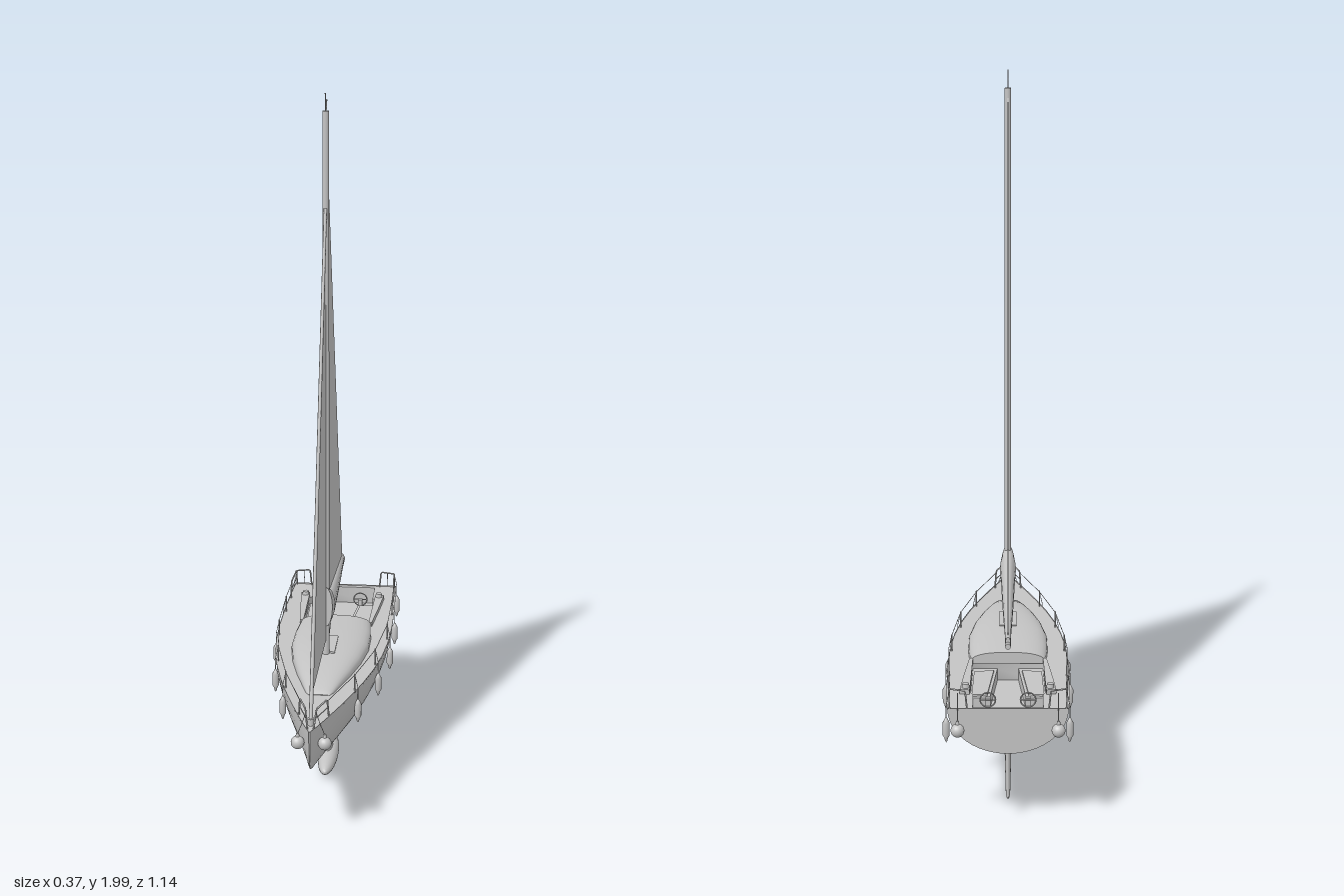
import * as THREE from 'three';

const grey = new THREE.MeshStandardMaterial({ color: 0xc4c4c4 });
grey.name = 'light grey';
grey.side = THREE.DoubleSide;
const DECK = 0.353;
const V = (x, y, z) => new THREE.Vector3(x, y, z);

// Stations along the hull: z, half width at deck, keel height
const stations = [
  [-0.525, 0.163, 0.226], [-0.42, 0.168, 0.212], [-0.3, 0.171, 0.2], [-0.18, 0.172, 0.19],
  [-0.06, 0.168, 0.183], [0.04, 0.158, 0.181], [0.14, 0.141, 0.183], [0.24, 0.117, 0.19],
  [0.33, 0.09, 0.199], [0.41, 0.063, 0.209], [0.48, 0.038, 0.219], [0.53, 0.019, 0.229],
  [0.555, 0.008, 0.24], [0.57, 0.002, 0.262],
];
function beam(z) {
  const i = Math.max(1, stations.findIndex((s) => s[0] >= z));
  const [a, b] = [stations[i - 1], stations[i]];
  return THREE.MathUtils.lerp(a[1], b[1], (z - a[0]) / (b[0] - a[0]));
}

// Skin through rings of points; rings run counter-clockwise about the loft direction
function loft(rings, closed, caps = true) {
  const n = rings[0].length, pos = [], idx = [];
  rings.forEach((r) => r.forEach((p) => pos.push(p.x, p.y, p.z)));
  for (let i = 0; i < rings.length - 1; i++) {
    for (let j = 0; j < (closed ? n : n - 1); j++) {
      const k = (j + 1) % n, a = i * n + j, b = i * n + k;
      idx.push(a, b, a + n, b, b + n, a + n);
    }
  }
  if (caps) {
    [rings[0], rings[rings.length - 1]].forEach((r, end) => {
      const o = pos.length / 3;
      r.forEach((p) => pos.push(p.x, p.y, p.z));
      for (let j = 1; j < n - 1; j++) idx.push(o, ...(end ? [o + j, o + j + 1] : [o + j + 1, o + j]));
    });
  }
  const g = new THREE.BufferGeometry();
  g.setAttribute('position', new THREE.Float32BufferAttribute(pos, 3));
  g.setIndex(idx);
  g.computeVertexNormals();
  return g;
}
const arc = (n, f) => Array.from({ length: n + 1 }, (_, i) => f(i / n));

// Outline of [x, z] pairs, flat or extruded upward
function plan(pts) {
  return new THREE.Shape(pts.map(([x, z]) => new THREE.Vector2(x, -z)));
}
const slab = (shape, y, h) => new THREE.ExtrudeGeometry(shape, { depth: h, bevelEnabled: false })
  .rotateX(-Math.PI / 2).translate(0, y, 0);
const mirrored = (half) => [...half, ...half.slice().reverse().map(([x, z]) => [-x, z])];

// Straight round bar between two points
function bar(a, b, r0, r1 = r0, sides = 8) {
  const d = b.clone().sub(a);
  const g = new THREE.CylinderGeometry(r1, r0, d.length(), sides);
  g.applyQuaternion(new THREE.Quaternion().setFromUnitVectors(V(0, 1, 0), d.clone().normalize()));
  const m = a.clone().add(b).multiplyScalar(0.5);
  return g.translate(m.x, m.y, m.z);
}
const pipe = (pts, r) => {
  const path = new THREE.CurvePath();
  for (let i = 1; i < pts.length; i++) path.add(new THREE.LineCurve3(pts[i - 1], pts[i]));
  return new THREE.TubeGeometry(path, (pts.length - 1) * 6, r, 6);
};

// Vertical foil: rows of y, front z, back z, half thickness
const foil = (rows) => loft(rows.map(([y, f, b, t]) => arc(15, (u) => {
  const a = u * Math.PI * 15 / 8;
  return V(t * Math.sin(a), y, (f + b) / 2 + (f - b) / 2 * Math.cos(a));
})), true);

export function createModel() {
  const boat = new THREE.Group();
  boat.name = 'sailingYacht';
  const add = (name, geo) => {
    const m = new THREE.Mesh(geo, grey);
    m.name = name;
    boat.add(m);
    return m;
  };

  // Hull and deck
  add('hull', loft(stations.map(([z, w, k]) => arc(20, (u) => {
    const a = Math.PI * (1 + u);
    return V(w * Math.cos(a), 0.357 + (0.357 - k) * Math.sin(a), z);
  })), false));
  const deck = plan(mirrored(stations.map(([z, w]) => [w, z])));
  const well = mirrored([[0.095, -0.51], [0.095, -0.42], [0.105, -0.4], [0.1, -0.185]]);
  deck.holes.push(plan(well));
  add('deck', new THREE.ShapeGeometry(deck).rotateX(-Math.PI / 2).translate(0, DECK, 0));

  // Cockpit well
  add('cockpitFloor', slab(plan(well), 0.295, 0.005));
  add('cockpitWalls', loft([0.295, DECK].map((y) => well.map(([x, z]) => V(x, y, z))), true, false));
  for (const s of [-1, 1]) {
    const side = (pts) => plan(pts.map(([x, z]) => [s * x, z]));
    add('seat', slab(side([[0.05, -0.4], [0.104, -0.4], [0.1, -0.186], [0.03, -0.186]]), 0.3, 0.035));
    add('seatCushion', slab(side([[0.057, -0.385], [0.1, -0.39], [0.096, -0.22], [0.04, -0.21]]), 0.335, 0.005));
    add('coaming', slab(side([[0.105, -0.42], [0.132, -0.415], [0.122, -0.3], [0.11, -0.186], [0.1, -0.186], [0.104, -0.4]]), DECK - 0.002, 0.016));
    add('winch', new THREE.CylinderGeometry(0.009, 0.011, 0.012, 16).translate(s * 0.116, 0.372, -0.4));
    add('wheel', new THREE.TorusGeometry(0.021, 0.002, 6, 24).translate(s * 0.055, 0.343, -0.432));
    add('wheelHub', bar(V(s * 0.034, 0.343, -0.432), V(s * 0.076, 0.343, -0.432), 0.0015));
    add('wheelPost', new THREE.BoxGeometry(0.014, 0.05, 0.012).translate(s * 0.055, 0.322, -0.423));
  }

  // Cabin: z, half width, height
  const cabin = [[-0.19, 0.108, 0.034], [-0.1, 0.115, 0.039], [0, 0.115, 0.043], [0.1, 0.1, 0.042],
    [0.19, 0.077, 0.035], [0.26, 0.055, 0.025], [0.31, 0.039, 0.013], [0.326, 0.03, 0.003]];
  add('cabin', loft(cabin.map(([z, w, h]) => arc(16, (u) => {
    const c = Math.cos(Math.PI * u), q = Math.sin(Math.PI * u);
    return V(w * Math.sign(c) * Math.abs(c) ** 0.8, DECK - 0.001 + h * Math.max(q, 0) ** 0.75, z);
  })), false));
  add('mastCollar', new THREE.BoxGeometry(0.05, 0.008, 0.12).translate(0, 0.393, 0.06));

  // Keel, bulb, rudder and propeller
  add('keelFin', foil([[0.035, 0.08, 0.0, 0.011], [0.12, 0.084, -0.005, 0.014], [0.2, 0.1, -0.02, 0.02]]));
  add('keelBulb', new THREE.SphereGeometry(1, 24, 16).scale(0.029, 0.027, 0.13).translate(0, 0.035, 0.045));
  add('rudder', foil([[0.065, -0.442, -0.464, 0.004], [0.075, -0.436, -0.466, 0.006], [0.225, -0.4, -0.466, 0.01]]));
  add('propellerLeg', foil([[0.163, -0.203, -0.217, 0.004], [0.2, -0.198, -0.22, 0.006]]));
  add('propellerHub', bar(V(0, 0.166, -0.198), V(0, 0.166, -0.226), 0.006, 0.003));
  for (let i = 0; i < 3; i++) {
    add('propellerBlade', new THREE.BoxGeometry(0.006, 0.018, 0.002).translate(0, 0.009, 0)
      .rotateZ(i * Math.PI * 2 / 3).translate(0, 0.166, -0.221));
  }

  // Mast, masthead gear, boom and vang
  add('mast', bar(V(0, 0.37, 0.12), V(0, 1.95, 0.12), 0.01, 0.009, 16));
  add('mastheadAerial', pipe([V(0, 1.95, 0.122), V(0, 1.996, 0.124), V(0, 1.998, 0.142)], 0.0015));
  add('windVane', pipe([V(0, 1.95, 0.115), V(0, 1.955, 0.098), V(0, 1.975, 0.094)], 0.0015));
  add('windVaneTail', new THREE.BoxGeometry(0.003, 0.004, 0.022).translate(0, 1.975, 0.098));
  add('boom', bar(V(0, 0.488, 0.12), V(0, 0.488, -0.41), 0.009, 0.008, 12));
  add('vang', bar(V(0, 0.4, 0.115), V(0, 0.482, -0.06), 0.0045));

  // Sail bag along the boom: z, top, half width
  const bag = [[-0.395, 0.51, 0.007], [-0.2, 0.53, 0.014], [0.05, 0.555, 0.021], [0.1, 0.59, 0.024], [0.134, 0.602, 0.02]];
  add('sailBag', loft(bag.map(([z, t, w]) => arc(15, (u) => {
    const a = u * Math.PI * 15 / 8, m = (t + 0.48) / 2;
    return V(w * Math.cos(a), m + (t - 0.48) / 2 * Math.sin(a), z);
  })), true));

  // Sails as thin sheets
  const sail = (name, pts) => add(name, new THREE.ExtrudeGeometry(
    new THREE.Shape(pts.map(([z, y]) => new THREE.Vector2(-z, y))), { depth: 0.002, bevelEnabled: false })
    .translate(0, 0, -0.001).rotateY(Math.PI / 2));
  sail('mainSail', [[0.112, 1.925], [0.112, 0.5], [-0.385, 0.5]]);
  sail('jib', [[0.132, 1.675], [0.132, 0.438], [0.514, 0.438]]);
  add('forestay', bar(V(0, 0.36, 0.54), V(0, 1.69, 0.13), 0.0055, 0.0045));
  add('furlingDrum', new THREE.CylinderGeometry(0.009, 0.009, 0.018, 16).translate(0, 0.372, 0.536));

  // Bow and stern rails, stanchions, lifelines and fenders
  const fender = new THREE.LatheGeometry([[0, 0.255], [0.003, 0.259], [0.005, 0.268], [0.0095, 0.276], [0.0095, 0.312],
    [0.005, 0.321], [0.002, 0.327], [0, 0.328]].map(([r, y]) => new THREE.Vector2(r, y)), 14);
  const fenderZ = [-0.515, -0.285, -0.093, 0.1, 0.284];
  for (const s of [-1, 1]) {
    const at = (z, y, inset = 0.006) => V(s * (beam(z) - inset), y, z);
    add('bowRail', pipe([at(0.455, DECK), at(0.465, 0.405), at(0.53, 0.406, 0.004), at(0.547, DECK, 0.003)], 0.0025));
    add('bowRailLower', bar(at(0.46, 0.38), at(0.54, 0.38, 0.004), 0.0015));
    add('sternRail', pipe([at(-0.395, DECK), at(-0.41, 0.405), at(-0.505, 0.405), at(-0.52, DECK)], 0.0025));
    add('sternRailLower', bar(at(-0.402, 0.38), at(-0.513, 0.38), 0.0015));
    add('sternRailAft', pipe([at(-0.505, 0.405), V(s * 0.115, 0.405, -0.518), V(s * 0.11, DECK, -0.52)], 0.0025));
    add('lifeline', pipe([-0.41, ...fenderZ.slice(1), 0.465].map((z) => at(z, 0.4)), 0.001));
    for (const z of fenderZ) {
      if (z > -0.5) add('stanchion', bar(at(z, DECK), at(z, 0.403), 0.002));
      const x = s * (beam(z) + 0.003);
      add('fender', fender).position.set(x, 0, z);
      add('fenderLine', pipe([V(x, 0.325, z), V(x, 0.36, z), at(z, 0.4)], 0.001));
    }
    // Round buoys at bow and stern
    for (const [x, z, rx, rz] of [[0.037, 0.528, 0.012, 0.528], [0.135, -0.551, 0.135, -0.52]]) {
      add('roundBuoy', new THREE.SphereGeometry(0.0185, 20, 14).translate(s * x, 0.305, z));
      add('buoyNeck', new THREE.CylinderGeometry(0.004, 0.006, 0.012, 10).translate(s * x, 0.326, z));
      add('buoyLine', pipe([V(s * x, 0.33, z), V(s * (x + rx) / 2, 0.362, (z + rz) / 2), V(s * rx, 0.4, rz)], 0.001));
    }
  }
  return boat;
}
